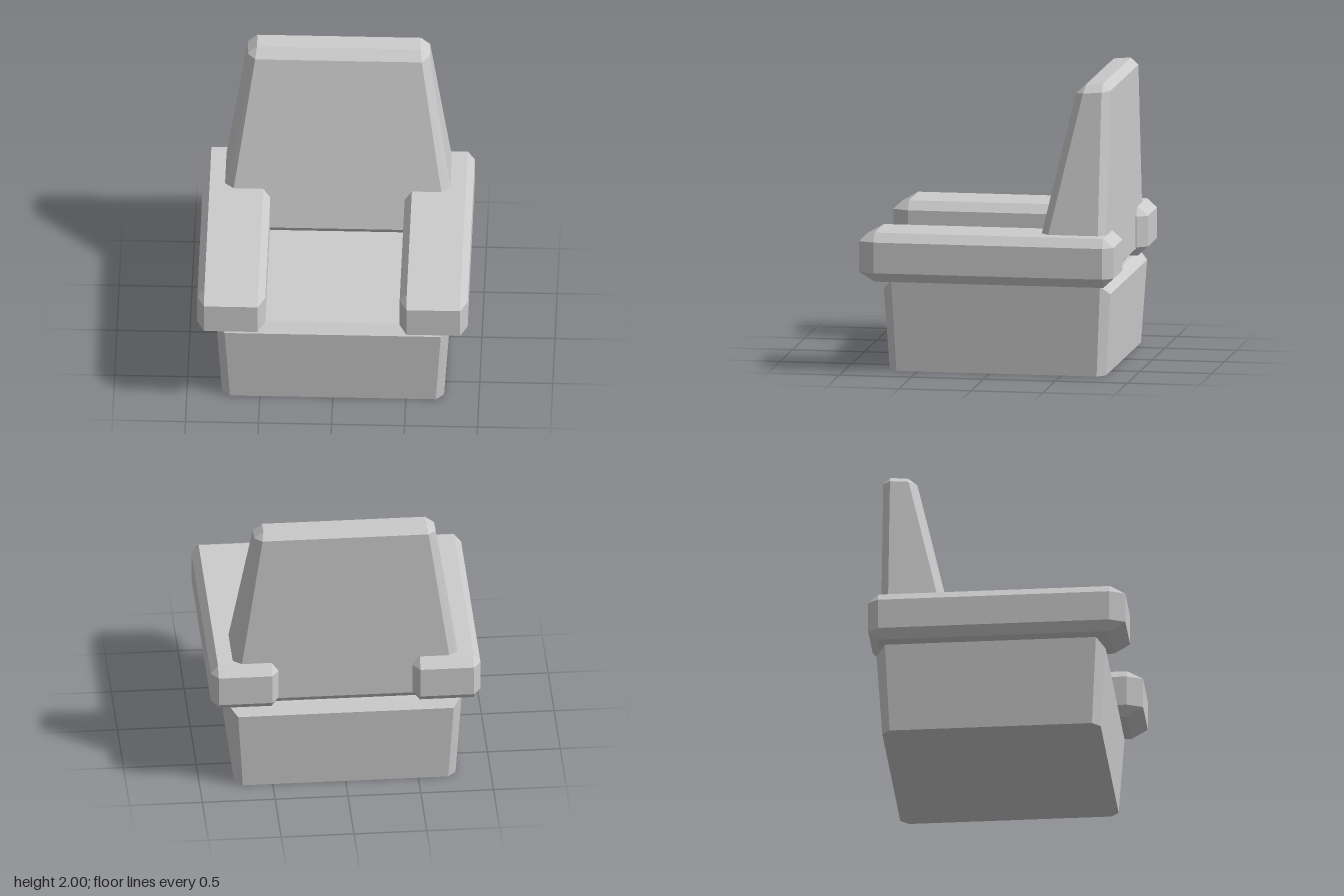
import * as THREE from 'three';
import { ConvexGeometry } from 'three/addons/geometries/ConvexGeometry.js';

const material = new THREE.MeshStandardMaterial({ color: 0xcccccc, flatShading: true });

// Faceted solid around corner points, given for +x and mirrored to -x
function mirroredBlock(name, corners) {
  const points = [];
  for (const [x, y, z] of corners) {
    points.push(new THREE.Vector3(x, y, z), new THREE.Vector3(-x, y, z));
  }
  const mesh = new THREE.Mesh(new ConvexGeometry(points), material);
  mesh.name = name;
  return mesh;
}

// Seat base: flares upward, bevelled upright corners and front/back top edges
function createBase() {
  return mirroredBlock('seatBase', [
    [0.705, 0, 0.70], [0.76, 0, 0.645], [0.76, 0, -0.745], [0.705, 0, -0.80],
    [0.74, 0.57, 0.737], [0.80, 0.63, 0.675],
    [0.80, 0.63, -0.775], [0.74, 0.57, -0.837],
  ]);
}

// Backrest: tapers in width and depth, with all edges bevelled
function createBackrest() {
  return mirroredBlock('backrest', [
    // front face
    [0.57, 1.93, -0.57], [0.753, 0.69, -0.292],
    // side face
    [0.623, 1.937, -0.627], [0.623, 1.947, -0.755],
    [0.815, 0.69, -0.347], [0.815, 0.69, -0.755],
    // back face
    [0.57, 1.95, -0.806], [0.753, 0.69, -0.806],
    // top and bottom faces
    [0.56, 1.99, -0.637], [0.56, 2.0, -0.755],
    [0.757, 0.634, -0.337], [0.757, 0.634, -0.75],
  ]);
}

// Armrest: long box with bevelled edges, deeper bevels at the front end
function createArmrest(name, side) {
  const corners = [];
  for (const top of [false, true]) {
    const outerY = top ? 0.975 : 0.635;
    const innerY = top ? 0.913 : 0.70;
    for (const [endZ, innerZ] of [[0.885, 0.777], [-0.882, -0.812]]) {
      corners.push(
        [0.184, innerY, endZ],   // end face
        [0.233, innerY, innerZ], // side face
        [0.184, outerY, innerZ], // top or bottom face
      );
    }
  }
  const arm = mirroredBlock(name, corners);
  arm.position.x = side * 0.693;
  return arm;
}

export function createModel() {
  const chair = new THREE.Group();
  chair.name = 'armchair';
  chair.add(
    createBase(),
    createBackrest(),
    createArmrest('leftArmrest', 1),
    createArmrest('rightArmrest', -1),
  );
  return chair;
}
